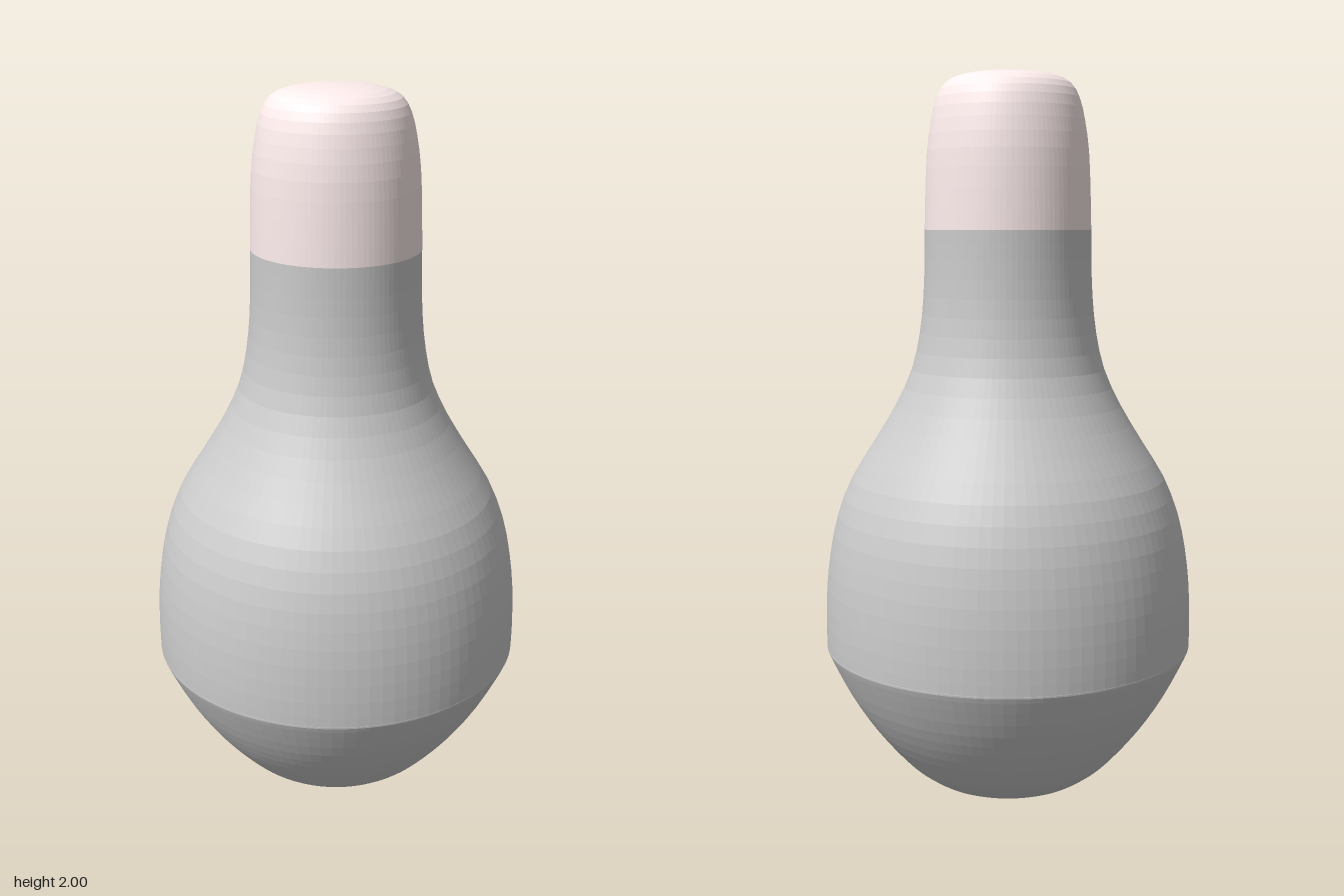
import * as THREE from 'three';

const SEGMENTS = 96;

// Revolves a smooth curve through [radius, height] points, sampled into flat bands.
function turned(name, points, bands, color) {
  const curve = new THREE.SplineCurve(points.map(([r, y]) => new THREE.Vector2(r, y)));
  const profile = curve.getPoints(bands);
  profile.forEach((p) => { p.x = Math.max(p.x, 0); });
  const mesh = new THREE.Mesh(
    new THREE.LatheGeometry(profile, SEGMENTS),
    new THREE.MeshStandardMaterial({ color, flatShading: true })
  );
  mesh.name = name;
  return mesh;
}

export function createModel() {
  const model = new THREE.Group();
  model.name = 'bulb';

  // Rounded underside, widening up to the crease
  model.add(turned('base', [
    [0, 0], [0.1, 0.007], [0.2, 0.03], [0.26, 0.065], [0.31, 0.11],
    [0.385, 0.2], [0.45, 0.3], [0.505, 0.41], [0.511, 0.43],
  ], 24, 0xcccccc));

  // Swelling body that narrows into the neck
  model.add(turned('bodyAndNeck', [
    [0.511, 0.43], [0.512, 0.5], [0.508, 0.6], [0.496, 0.7], [0.474, 0.8],
    [0.434, 0.9], [0.372, 1.0], [0.312, 1.1], [0.266, 1.2], [0.243, 1.3],
    [0.232, 1.4], [0.228, 1.5], [0.227, 1.58],
  ], 24, 0xcccccc));

  // Pale rounded cap
  model.add(turned('cap', [
    [0.227, 1.58], [0.224, 1.69], [0.219, 1.79], [0.208, 1.87], [0.193, 1.93],
    [0.17, 1.968], [0.13, 1.988], [0.07, 1.997], [0, 2],
  ], 16, 0xffeeee));

  return model;
}
